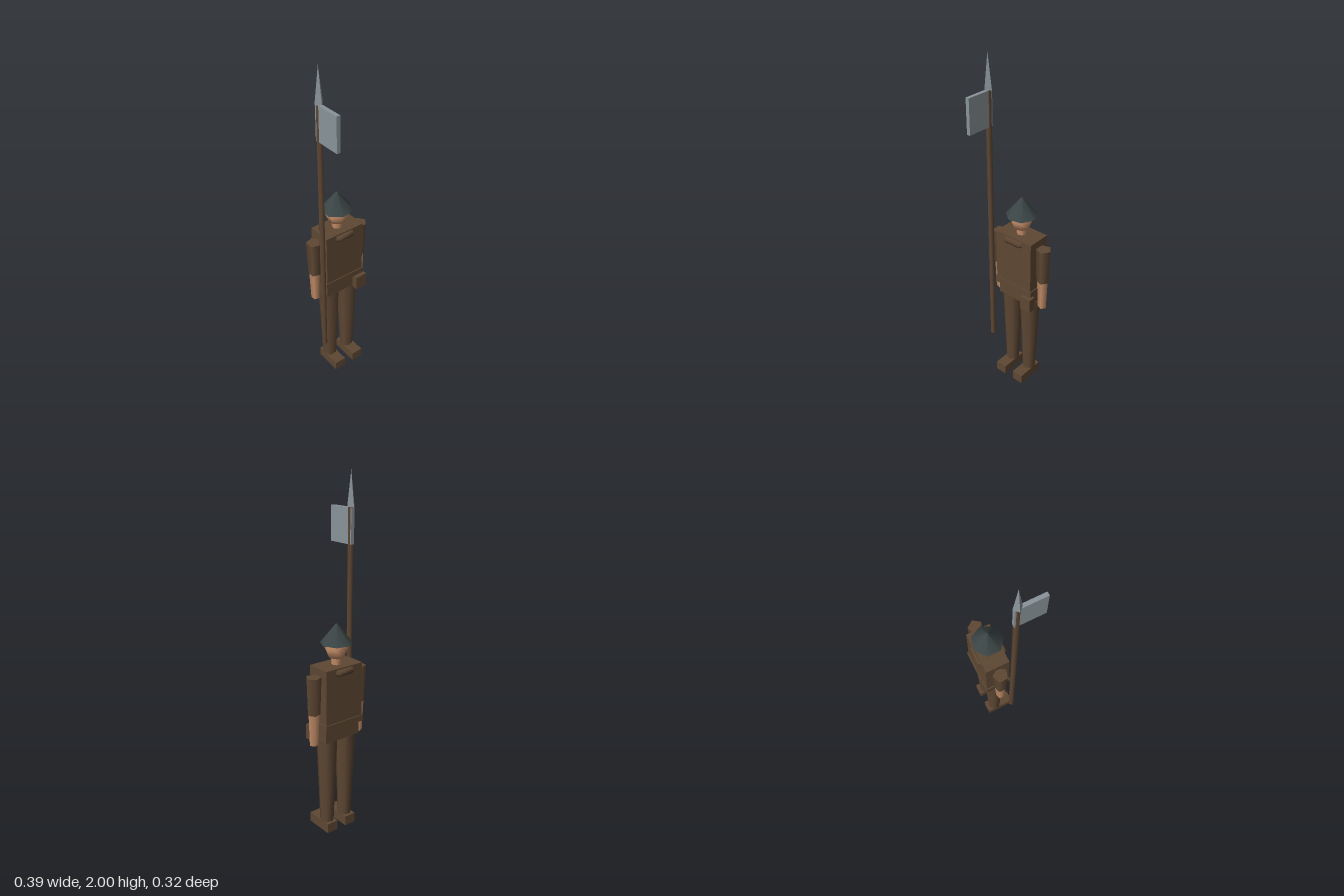
import * as THREE from 'three';

const mat = (name, color) => {
  const m = new THREE.MeshStandardMaterial({ color });
  m.name = name;
  return m;
};

export function createModel() {
  const brown = mat('brown cloth', 0x5e4733);
  const skin = mat('skin', 0xc08a66);
  const iron = mat('dark iron', 0x3b4545);
  const steel = mat('steel', 0x8a949a);

  const soldier = new THREE.Group();
  soldier.name = 'soldier';
  const CX = -0.0045, CZ = -0.071; // body axis

  const add = (name, geo, material, x, y, z) => {
    const mesh = new THREE.Mesh(geo, material);
    mesh.name = name;
    mesh.position.set(x, y, z);
    soldier.add(mesh);
    return mesh;
  };
  // box given by its extents
  const box = (name, m, x0, x1, y0, y1, z0, z1) =>
    add(name, new THREE.BoxGeometry(x1 - x0, y1 - y0, z1 - z0), m,
      (x0 + x1) / 2, (y0 + y1) / 2, (z0 + z1) / 2);
  // upright tapered prism with one corner pointing to +x
  const prism = (name, m, rTop, rBottom, y0, y1, sides, x, z = CZ) =>
    add(name, new THREE.CylinderGeometry(rTop, rBottom, y1 - y0, sides).rotateY(Math.PI / 2),
      m, x, (y0 + y1) / 2, z);

  // torso, belt and hips
  box('torso', brown, CX - 0.123, CX + 0.123, 0.655, 1.0, CZ - 0.071, CZ + 0.071);
  box('belt', brown, CX - 0.13, CX + 0.13, 0.655, 0.69, CZ - 0.077, CZ + 0.077);
  box('hips', brown, CX - 0.116, CX + 0.116, 0.575, 0.655, CZ - 0.058, CZ + 0.058);
  box('pouch', brown, 0.064, 0.135, 0.562, 0.648, -0.021, 0.023);

  // collar ring, showing through the front and back of the torso
  add('collar', new THREE.TorusGeometry(0.084, 0.02, 6, 6).rotateX(Math.PI / 2),
    brown, CX, 0.975, CZ);

  // limbs
  for (const [label, s] of [['left', 1], ['right', -1]]) {
    const armX = CX + s * 0.157, legX = CX + s * 0.065;
    prism(label + 'Sleeve', brown, 0.044, 0.037, 0.745, 0.957, 5, armX);
    prism(label + 'Forearm', skin, 0.033, 0.026, 0.563, 0.747, 5, armX);
    prism(label + 'Leg', brown, 0.06, 0.04, 0.055, 0.58, 7, legX);
    box(label + 'Boot', brown, legX - 0.035, legX + 0.035, 0, 0.058, -0.125, 0.041);
  }

  // neck, head and helmet
  prism('neck', skin, 0.029, 0.029, 0.99, 1.04, 7, CX);
  add('head', new THREE.SphereGeometry(0.065, 7, 4).rotateY(Math.PI), skin, CX, 1.087, CZ);
  prism('helmet', iron, 0.006, 0.09, 1.116, 1.222, 7, CX);

  // pole weapon
  const PX = -0.161, PZ = 0.007;
  prism('pole', brown, 0.016, 0.016, 0.25, 1.81, 6, PX, PZ);
  box('blade', steel, PX - 0.0105, PX + 0.0105, 1.615, 1.808, -0.01, 0.157);
  const tip = new THREE.ConeGeometry(0.025, 0.19, 4).toNonIndexed();
  tip.computeVertexNormals();
  add('spearTip', tip, steel, PX, 1.905, PZ);

  return soldier;
}
